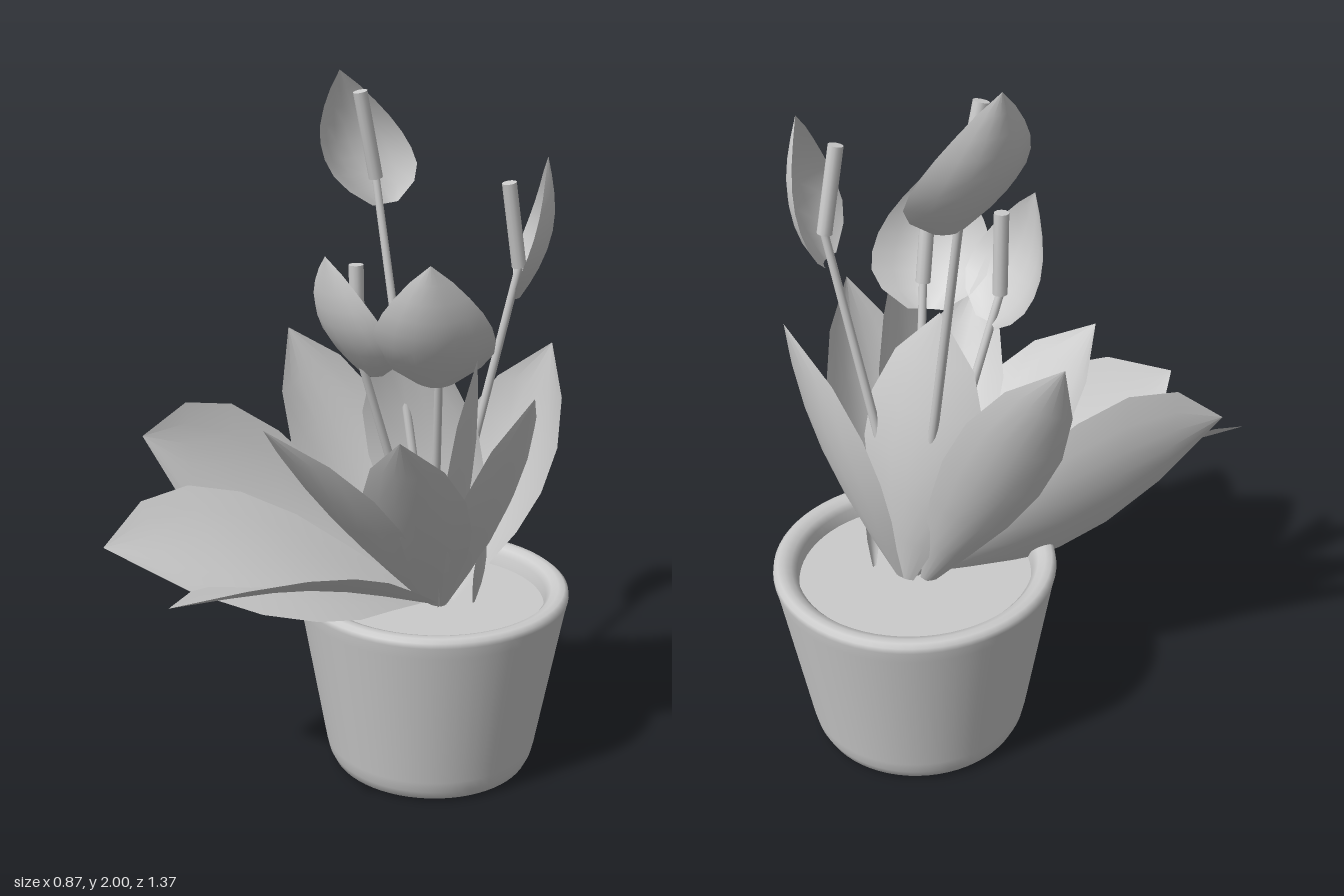
import * as THREE from 'three';

const material = new THREE.MeshStandardMaterial({ color: 0xcccccc });
const thin = new THREE.MeshStandardMaterial({ color: 0xcccccc, side: THREE.DoubleSide });
const v = (a) => new THREE.Vector3(...a);

const LEAF = [0.14, 0.48, 0.82, 1, 0.98, 0.68, 0];
const SPATHE = [0.3, 0.76, 0.97, 1, 0.94, 0.8, 0.59, 0.33, 0];

// Blade from base to tip; half-width vector, outward bulge of the midrib, inward cupping of the edges
function blade(name, widths, base, tip, half, bulge, cup) {
  const b = v(base), t = v(tip), w = v(half);
  const out = t.clone().sub(b).cross(w).normalize();
  const pos = [], index = [], cols = 6, rows = widths.length - 1;
  widths.forEach((k, i) => {
    const u = i / rows;
    for (let j = 0; j <= cols; j++) {
      const s = (j / cols) * 2 - 1;
      const p = b.clone().lerp(t, u)
        .addScaledVector(w, k * s)
        .addScaledVector(out, bulge * Math.sin(Math.PI * u) - cup * k * s * s);
      pos.push(p.x, p.y, p.z);
      if (i < rows && j < cols) {
        const a = i * (cols + 1) + j, c = a + cols + 1;
        index.push(a, c, a + 1);
        if (i < rows - 1) index.push(a + 1, c, c + 1);
      }
    }
  });
  const geo = new THREE.BufferGeometry();
  geo.setAttribute('position', new THREE.Float32BufferAttribute(pos, 3));
  geo.setIndex(index);
  geo.computeVertexNormals();
  const mesh = new THREE.Mesh(geo, thin);
  mesh.name = name;
  return mesh;
}

// Straight round rod between two points
function rod(name, from, to, r0, r1) {
  const a = v(from), d = v(to).sub(a);
  const mesh = new THREE.Mesh(new THREE.CylinderGeometry(r1, r0, d.length(), 12), material);
  mesh.position.copy(a).addScaledVector(d, 0.5);
  mesh.quaternion.setFromUnitVectors(new THREE.Vector3(0, 1, 0), d.normalize());
  mesh.name = name;
  return mesh;
}

export function createModel() {
  const model = new THREE.Group();
  model.name = 'pottedPlant';

  // Pot with rounded lip and foot
  const profile = [
    [0, 0], [0.28, 0], [0.293, 0.008], [0.306, 0.035], [0.314, 0.07], [0.388, 0.5],
    [0.396, 0.535], [0.394, 0.55], [0.383, 0.559], [0.365, 0.56], [0.345, 0.552], [0.33, 0.535], [0.323, 0.48],
  ].map(([x, y]) => new THREE.Vector2(x, y));
  const pot = new THREE.Mesh(new THREE.LatheGeometry(profile, 64), thin);
  pot.name = 'pot';
  pot.position.z = -0.29;
  model.add(pot);

  // Soil
  const soil = new THREE.Mesh(new THREE.CylinderGeometry(0.326, 0.326, 0.02, 48), material);
  soil.name = 'soil';
  soil.position.set(0, 0.49, -0.29);
  model.add(soil);

  // Leaves: base, tip, half width, bulge, cup
  const leaves = new THREE.Group();
  leaves.name = 'leaves';
  [
    [[0.05, 0.52, -0.24], [0.16, 0.8, 0.68], [-0.205, -0.075, 0], -0.04, 0.03],
    [[-0.02, 0.52, -0.24], [-0.235, 0.82, 0.65], [-0.19, 0.13, 0], -0.05, 0.03],
    [[-0.01, 0.5, -0.26], [-0.435, 1.03, 0.41], [-0.07, 0.25, -0.02], 0.02, 0.05],
    [[0, 0.5, -0.26], [0, 1.14, 0.29], [-0.2, 0, 0], 0.02, 0.06],
    [[0.05, 0.5, -0.3], [0.435, 1.235, -0.26], [0.04, -0.03, 0.15], 0.04, 0.05],
    [[0.04, 0.5, -0.27], [0.36, 1.17, 0.12], [-0.1, 0, 0.1], 0.03, 0.04],
    [[0.04, 0.5, -0.29], [0.31, 1.325, -0.17], [0.09, -0.045, 0.12], 0.03, 0.04],
    [[0.02, 0.5, -0.34], [0.18, 1.28, -0.555], [0.195, 0, 0], 0.04, 0.06],
    [[-0.01, 0.5, -0.33], [-0.05, 1.33, -0.22], [0.16, 0, -0.085], 0.06, 0.05],
    [[-0.05, 0.5, -0.28], [-0.39, 1.28, -0.055], [0.045, 0.07, -0.12], 0.03, 0.045],
    [[0.08, 0.49, -0.38], [0.19, 0.75, -0.32], [0.01, 0, 0.03], 0.01, 0.01],
  ].forEach((args, i) => leaves.add(blade(`leaf${i + 1}`, LEAF, ...args)));
  model.add(leaves);

  // Flowers: spathe foot, spathe tip, half width, spadix foot and top
  [
    [[-0.235, 1.635, -0.27], [-0.335, 2, -0.2], [-0.02, 0, -0.165], [-0.24, 1.71, -0.255], [-0.24, 1.95, -0.2]],
    [[0.18, 1.43, -0.43], [0.235, 1.81, -0.46], [0.125, 0, 0.105], [0.17, 1.51, -0.43], [0.17, 1.74, -0.385]],
    [[0, 1.23, -0.045], [0, 1.575, 0.09], [-0.16, 0, 0], [0, 1.31, -0.015], [0, 1.54, -0.01]],
    [[0.175, 1.22, -0.145], [0.285, 1.585, -0.03], [-0.095, 0, 0.13], [0.18, 1.3, -0.15], [0.2, 1.53, -0.115]],
  ].forEach(([foot, tip, half, s0, s1], i) => {
    const flower = new THREE.Group();
    flower.name = `flower${i + 1}`;
    flower.add(
      blade('spathe', SPATHE, foot, tip, half, 0.05, 0.06),
      rod('spadix', s0, s1, 0.02, 0.02),
      rod('stem', [0, 0.49, -0.29], s0, 0.014, 0.011),
    );
    model.add(flower);
  });

  return model;
}
